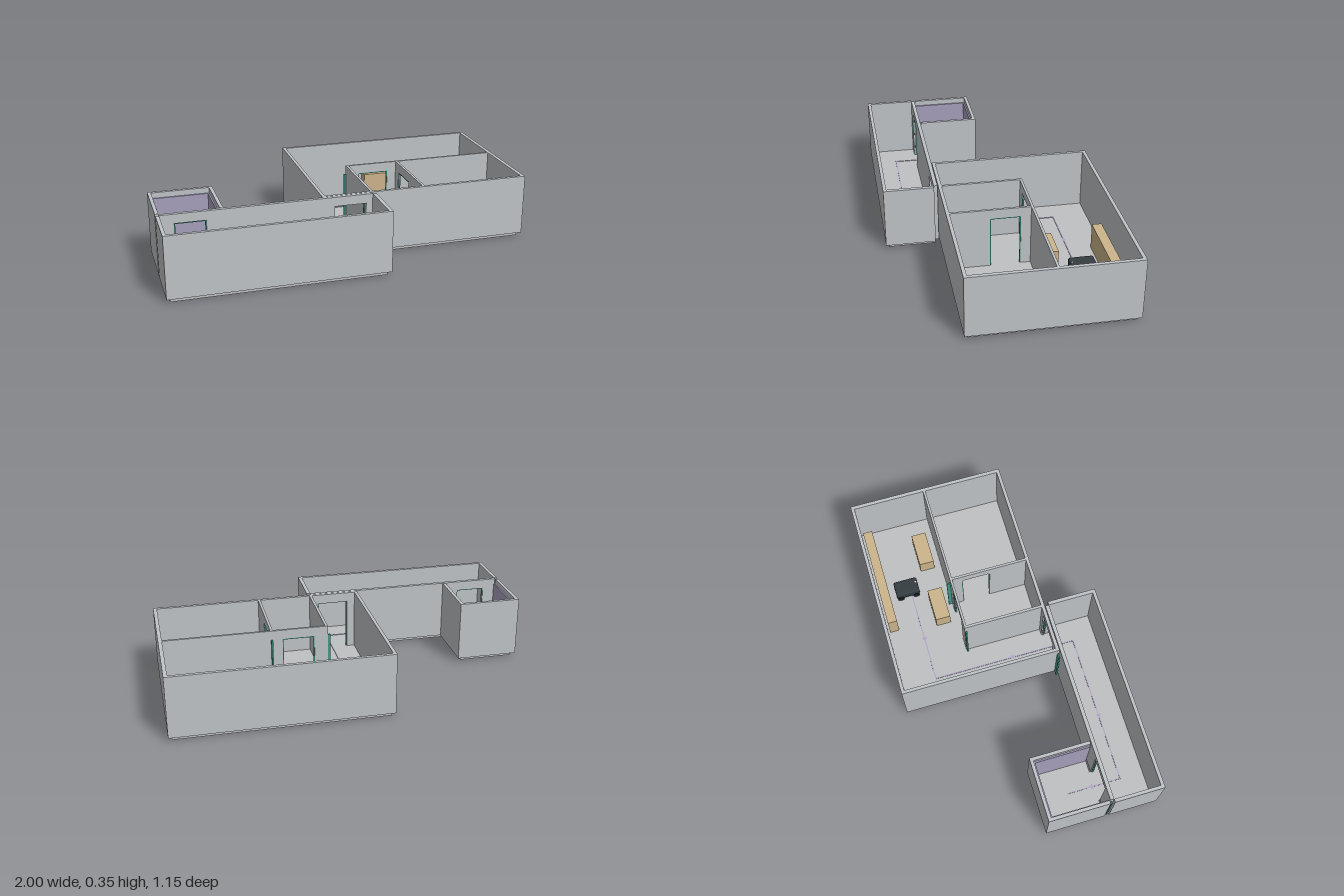
import * as THREE from 'three';
import { RoundedBoxGeometry } from 'three/addons/geometries/RoundedBoxGeometry.js';

const mat = (name, color, side = THREE.FrontSide) => {
  const m = new THREE.MeshStandardMaterial({ color, side });
  m.name = name;
  return m;
};

export function createModel() {
  const wallGrey = mat('wall grey', 0xc0c4c8);
  const floorGrey = mat('floor grey', 0xbfc1c3);
  const teal = mat('door teal', 0x3f9a88);
  const purple = mat('lift lining purple', 0xa79fbd);
  const tan = mat('furniture tan', 0xcdb58c);
  const dark = mat('cart dark', 0x353d42);
  const black = mat('wheel black', 0x1c2023);
  const white = mat('lamp white', 0xe8ecec);
  const route = mat('route lilac', 0xb3a6c6, THREE.DoubleSide);

  const FLOOR = 0.02, TOP = 0.35, HEAD = 0.3, LEAF = 0.085;
  const model = new THREE.Group();
  model.name = 'floorPlan';

  const group = (name) => {
    const g = new THREE.Group();
    g.name = name;
    model.add(g);
    return g;
  };
  // Box given by its lower and upper limits
  const box = (parent, name, m, x0, x1, y0, y1, z0, z1) => {
    const mesh = new THREE.Mesh(new THREE.BoxGeometry(x1 - x0, y1 - y0, z1 - z0), m);
    mesh.position.set((x0 + x1) / 2, (y0 + y1) / 2, (z0 + z1) / 2);
    mesh.name = name;
    parent.add(mesh);
    return mesh;
  };
  const wall = (parent, name, x0, x1, z0, z1, y0 = FLOOR) =>
    box(parent, name, wallGrey, x0, x1, y0, TOP, z0, z1);

  // Wall along x or z with a doorway from d0 to d1, and its lintel
  const doorWall = (parent, name, axis, a0, a1, t0, t1, d0, d1) => {
    const piece = (n, p, q, y0) => axis === 'x'
      ? wall(parent, n, p, q, t0, t1, y0)
      : wall(parent, n, t0, t1, p, q, y0);
    piece(name, a0, d0, FLOOR);
    piece(name, d1, a1, FLOOR);
    piece(name + 'Lintel', d0, d1, HEAD);
  };
  // Pair of sliding leaves standing open inside the wall
  const slidingDoor = (name, axis, t, d0, d1) => {
    const g = group(name), h = 0.004, lip = 0.005;
    for (const [p, q] of [[d0 - LEAF, d0 + lip], [d1 - lip, d1 + LEAF]]) {
      if (axis === 'x') box(g, 'doorLeaf', teal, p, q, FLOOR, HEAD, t - h, t + h);
      else box(g, 'doorLeaf', teal, t - h, t + h, FLOOR, HEAD, p, q);
    }
    if (axis === 'x') box(g, 'doorTrack', teal, d0, d1, HEAD - 0.006, HEAD, t - h, t + h);
    else box(g, 'doorTrack', teal, t - h, t + h, HEAD - 0.006, HEAD, d0, d1);
  };

  // Floors, set in from the outer wall faces, and thresholds
  const floors = group('floors');
  for (const [n, ...r] of [
    ['mainFloor', -0.128, 0.98, -0.562, 0.267],
    ['corridorFloor', -0.982, 0.12, 0.308, 0.558],
    ['liftFloor', -0.978, -0.68, -0.02, 0.282],
    ['passageThreshold', -0.085, 0.085, 0.267, 0.308],
    ['liftThreshold', -0.91, -0.75, 0.282, 0.308],
  ]) box(floors, n, floorGrey, r[0], r[1], 0, FLOOR, r[2], r[3]);

  // Main room with two small rooms inside
  const main = group('mainRoom');
  wall(main, 'backWall', -0.145, 1, -0.58, -0.562);
  wall(main, 'rightWall', -0.145, -0.128, -0.562, 0.285);
  wall(main, 'leftWall', 0.98, 1, -0.562, 0.285);
  doorWall(main, 'frontWall', 'x', -0.128, 0.98, 0.267, 0.285, -0.085, 0.085);
  doorWall(main, 'partition', 'x', 0.118, 0.98, -0.165, -0.152, 0.19, 0.36);
  wall(main, 'sidePartition', 0.118, 0.132, -0.152, 0.267);
  doorWall(main, 'middlePartition', 'z', -0.152, 0.267, 0.41, 0.423, -0.1, 0.06);

  // Corridor
  const corridor = group('corridor');
  doorWall(corridor, 'backWallRight', 'x', -0.982, -0.5, 0.288, 0.308, -0.91, -0.75);
  doorWall(corridor, 'backWallLeft', 'x', -0.5, 0.12, 0.288, 0.308, -0.085, 0.085);
  wall(corridor, 'frontWall', -1, 0.14, 0.557, 0.575);
  wall(corridor, 'rightWall', -1, -0.982, 0.308, 0.557);
  wall(corridor, 'leftWall', 0.12, 0.14, 0.308, 0.557);

  // Lift shaft with a lined car
  const lift = group('liftShaft');
  wall(lift, 'backWall', -1, -0.66, -0.042, -0.024);
  wall(lift, 'rightWall', -1, -0.982, -0.024, 0.284);
  wall(lift, 'leftWall', -0.678, -0.66, -0.024, 0.284);
  box(lift, 'backLining', purple, -0.982, -0.678, FLOOR, 0.32, -0.024, -0.016);
  box(lift, 'rightLining', purple, -0.982, -0.974, FLOOR, 0.32, -0.016, 0.282);
  box(lift, 'leftLining', purple, -0.686, -0.678, FLOOR, 0.32, -0.016, 0.282);

  slidingDoor('passageDoor', 'x', 0.278, -0.085, 0.085);
  slidingDoor('smallRoomDoor', 'x', -0.158, 0.19, 0.36);
  slidingDoor('middleDoor', 'z', 0.417, -0.1, 0.06);
  slidingDoor('liftDoor', 'x', 0.297, -0.91, -0.75);

  // Furniture
  const furniture = group('furniture');
  box(furniture, 'backCounter', tan, 0.34, 0.92, FLOOR, 0.16, -0.552, -0.5);
  box(furniture, 'tableRight', tan, 0.305, 0.49, FLOOR, 0.11, -0.287, -0.205);
  box(furniture, 'tableLeft', tan, 0.66, 0.85, FLOOR, 0.11, -0.287, -0.205);

  // Wheeled cart
  const cart = group('cart');
  cart.position.set(0.562, FLOOR, -0.395);
  const body = new THREE.Mesh(new RoundedBoxGeometry(0.09, 0.055, 0.135, 3, 0.012), dark);
  body.position.y = 0.04;
  body.name = 'cartBody';
  cart.add(body);
  for (const sx of [-1, 1]) for (const sz of [-1, 1]) {
    const wheel = new THREE.Mesh(new THREE.CylinderGeometry(0.018, 0.018, 0.012, 20), black);
    wheel.rotation.z = Math.PI / 2;
    wheel.position.set(sx * 0.043, 0.018, sz * 0.045);
    wheel.name = 'cartWheel';
    cart.add(wheel);
  }
  const lamp = new THREE.Mesh(new THREE.CylinderGeometry(0.005, 0.005, 0.004, 16), white);
  lamp.position.set(0.012, 0.069, 0.058);
  lamp.name = 'cartLamp';
  cart.add(lamp);

  // Route painted on the floor, with arrowheads
  const path = group('route');
  const pts = [[0.52, -0.375], [0, -0.375], [0, 0.43], [-0.83, 0.43], [-0.83, 0.13]];
  const w = 0.003, y0 = FLOOR, y1 = FLOOR + 0.003;
  for (let i = 0; i < pts.length - 1; i++) {
    const [a, b] = pts[i], [c, d] = pts[i + 1];
    box(path, 'routeLine', route, Math.min(a, c) - w, Math.max(a, c) + w, y0, y1,
      Math.min(b, d) - w, Math.max(b, d) + w);
  }
  const head = new THREE.Shape([[0.016, 0], [-0.016, 0.014], [-0.016, -0.014]]
    .map(([x, y]) => new THREE.Vector2(x, y)));
  const arrow = new THREE.ShapeGeometry(head).rotateX(-Math.PI / 2);
  for (const [x, z, turn] of [[0.24, -0.375, Math.PI], [0, 0.08, -Math.PI / 2],
    [-0.47, 0.43, Math.PI], [-0.83, 0.26, Math.PI / 2]]) {
    const mesh = new THREE.Mesh(arrow, route);
    mesh.position.set(x, y1 + 0.001, z);
    mesh.rotation.y = turn;
    mesh.name = 'routeArrow';
    path.add(mesh);
  }
  return model;
}
